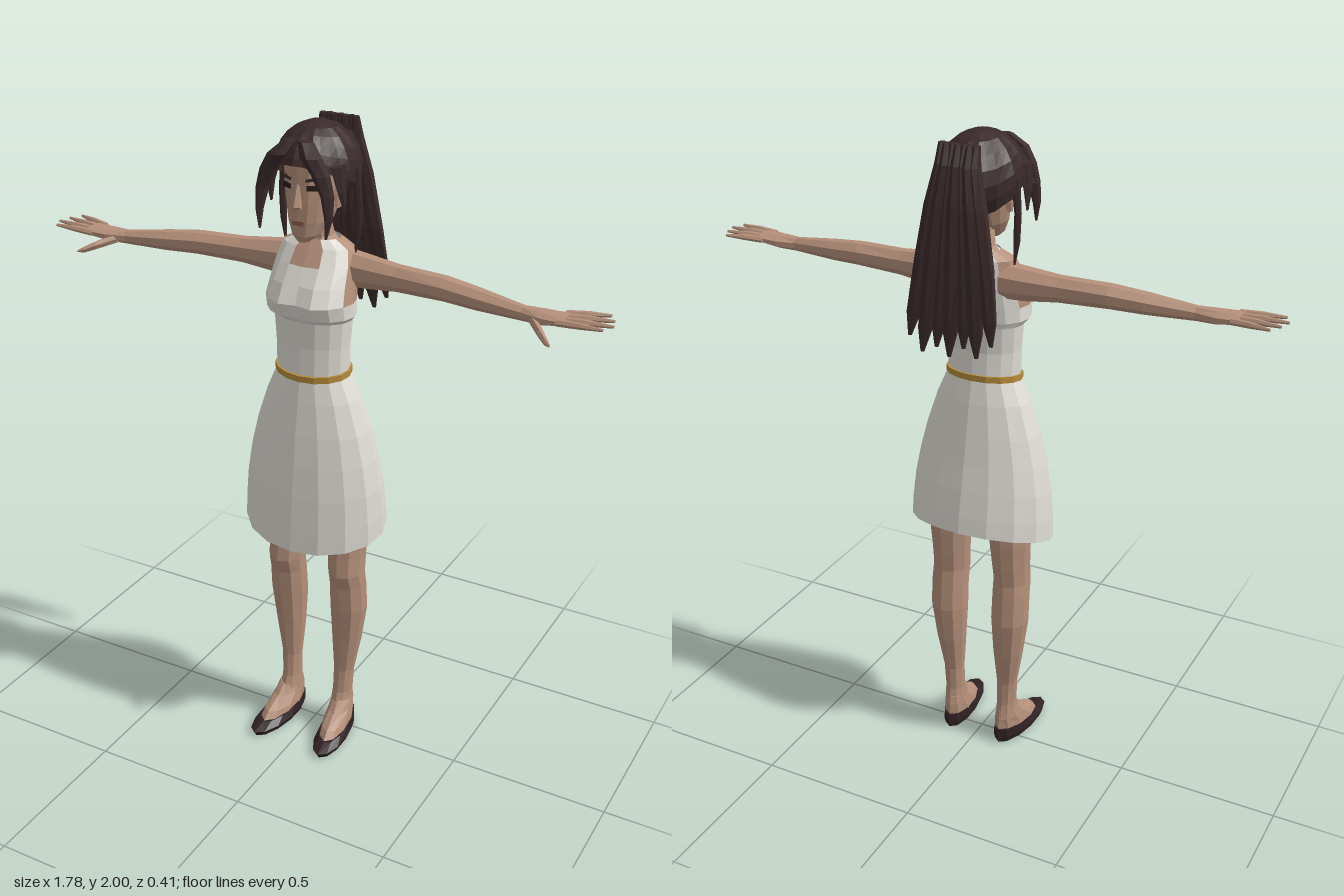
import * as THREE from 'three';

const mat = (name, color, side = THREE.FrontSide) => {
  const m = new THREE.MeshStandardMaterial({ color, side });
  m.name = name;
  return m;
};

export function createModel() {
  const model = new THREE.Group();
  model.name = 'woman';
  const skin = mat('skin', 0xb5907a);
  const dress = mat('dress white', 0xe0ddd5, THREE.DoubleSide);
  const hair = mat('hair brown', 0x3a2a2b, THREE.DoubleSide);
  const gold = mat('belt gold', 0xb78d3c);
  const shoe = mat('shoe dark', 0x2f2124);
  const eye = mat('eye dark', 0x2a1c1a);
  const lip = mat('lip', 0x8f6254);

  // Horizontal ring; k tilts it down towards the front, shear moves it sideways with z
  const ring = (n, y, cx, rx, zf, zb, k = 0, shear = 0, dip = 0) =>
    Array.from({ length: n }, (_, j) => {
      const a = (j / n) * Math.PI * 2;
      const z = (zf + zb) / 2 + (Math.cos(a) * (zf - zb)) / 2 - (j === 0 ? dip : 0);
      return [cx + Math.sin(a) * rx + shear * z, y - k * z, z];
    });

  // Upright ring across the x axis, for arms and fingers
  const ringX = (n, x, y, z, ry, rz) =>
    Array.from({ length: n }, (_, j) => {
      const a = ((j + 0.5) / n) * Math.PI * 2;
      return [x, y + Math.cos(a) * ry, z + Math.sin(a) * rz];
    });

  // Faceted skin over rings; pick(row, column) chooses the material, s = -1 mirrors
  function loft(name, rings, mats, { s = 1, caps = true, pick = () => 0, parent = model } = {}) {
    const list = Array.isArray(mats) ? mats : [mats];
    const tris = list.map(() => []);
    const add = (m, a, b, c) => {
      for (const p of s > 0 ? [a, b, c] : [a, c, b]) tris[m].push(p[0] * s, p[1], p[2]);
    };
    const n = rings[0].length;
    for (let i = 0; i < rings.length - 1; i++)
      for (let j = 0; j < n; j++) {
        const j2 = (j + 1) % n, m = pick(i, j);
        add(m, rings[i][j], rings[i][j2], rings[i + 1][j2]);
        add(m, rings[i][j], rings[i + 1][j2], rings[i + 1][j]);
      }
    if (caps)
      [rings[0], rings[rings.length - 1]].forEach((r, top) => {
        const c = [0, 1, 2].map(d => r.reduce((t, p) => t + p[d], 0) / n);
        r.forEach((p, j) => {
          const q = r[(j + 1) % n];
          top ? add(0, c, p, q) : add(0, c, q, p);
        });
      });
    const geo = new THREE.BufferGeometry();
    geo.setAttribute('position', new THREE.Float32BufferAttribute(tris.flat(), 3));
    let start = 0;
    tris.forEach((t, i) => {
      geo.addGroup(start, t.length / 3, i);
      start += t.length / 3;
    });
    geo.computeVertexNormals();
    const mesh = new THREE.Mesh(geo, list.length > 1 ? list : list[0]);
    mesh.name = name;
    parent.add(mesh);
    return mesh;
  }

  const plate = (name, material, w, h, x, y, z, ry = 0, rz = 0) => {
    const m = new THREE.Mesh(new THREE.BoxGeometry(w, h, 0.008), material);
    m.name = name;
    m.position.set(x, y, z);
    m.rotation.set(0, ry, rz);
    model.add(m);
  };

  // Bodice with shoulder straps and bare shoulders: y, rx, front z, back z, tilt, cleft
  const bodice = [
    [1.27, 0.113, 0.1, -0.067, 0.1, 0], [1.36, 0.115, 0.096, -0.06, 0, 0],
    [1.44, 0.121, 0.1, -0.068, 0, 0], [1.458, 0.137, 0.126, -0.072, 0, 0.012],
    [1.5, 0.136, 0.142, -0.08, 0, 0.018], [1.55, 0.13, 0.115, -0.085, 0, 0.012],
    [1.6, 0.125, 0.078, -0.086, 0, 0], [1.645, 0.112, 0.045, -0.08, 0, 0],
    [1.668, 0.066, 0.027, -0.068, 0, 0],
  ].map(([y, rx, zf, zb, k, d]) => ring(16, y, 0, rx, zf, zb, k, 0, d));
  loft('bodice', bodice, [dress, skin], {
    caps: false,
    pick: (i, j) => {
      const c = j < 8 ? j : 15 - j;
      if (i === 4) return c === 3 || c === 4 ? 1 : 0;
      if (i === 5) return c >= 3 && c <= 5 ? 1 : 0;
      if (i >= 6) return c === 1 || c === 2 || c >= 6 ? 0 : 1;
      return 0;
    },
  });

  // Skirt, longer in front, and belt
  loft('skirt', [
    [0.765, 0.23, 0.165, -0.16, 0.28], [0.83, 0.228, 0.16, -0.152, 0.22],
    [0.92, 0.22, 0.152, -0.137, 0.16], [1.01, 0.204, 0.141, -0.12, 0.1],
    [1.1, 0.181, 0.129, -0.104, 0.06], [1.2, 0.147, 0.114, -0.085, 0.08],
    [1.272, 0.115, 0.102, -0.069, 0.1],
  ].map(([y, rx, zf, zb, k]) => ring(16, y, 0, rx, zf, zb, k)), dress, { caps: false });
  loft('belt', [1.268, 1.287].map(y => ring(16, y, 0, 0.119, 0.106, -0.073, 0.1)), gold);

  // Neck and head
  loft('neck', [[1.645, 0.07, 0.03, -0.068], [1.675, 0.046, 0.028, -0.06], [1.72, 0.038, 0.035, -0.05],
    [1.77, 0.04, 0.04, -0.05]].map(([y, rx, zf, zb]) => ring(10, y, 0, rx, zf, zb)), skin);
  loft('head', [
    [1.677, 0.018, 0.092, 0.05], [1.695, 0.04, 0.1, 0.01], [1.735, 0.061, 0.104, -0.045],
    [1.79, 0.074, 0.106, -0.085], [1.84, 0.081, 0.106, -0.1], [1.9, 0.084, 0.108, -0.105],
    [1.95, 0.065, 0.08, -0.08],
  ].map(([y, rx, zf, zb]) => ring(16, y, 0, rx, zf, zb)), skin);
  loft('nose', [[1.775, 0.013, 0.112, 0.09], [1.785, 0.014, 0.128, 0.09], [1.845, 0.006, 0.108, 0.09]]
    .map(([y, rx, zf, zb]) => ring(6, y, 0, rx, zf, zb)), skin);
  plate('lips', lip, 0.036, 0.013, 0, 1.735, 0.102);

  for (const s of [1, -1]) {
    const side = s > 0 ? 'left' : 'right';
    // Face details
    plate(`${side}Eye`, eye, 0.03, 0.014, s * 0.038, 1.836, 0.093, s * 0.38);
    plate(`${side}Eyebrow`, hair, 0.038, 0.008, s * 0.04, 1.86, 0.094, s * 0.38, s * 0.15);
    loft(`${side}Ear`, [[1.77, 0.006, 0.03, 0.005], [1.8, 0.012, 0.03, -0.01], [1.835, 0.012, 0.035, -0.015]]
      .map(([y, rx, zf, zb]) => ring(6, y, 0.079, rx, zf, zb)), skin, { s });

    // Arm and palm: x, y, z, half height, half depth
    const arm = new THREE.Group();
    arm.name = `${side}Arm`;
    model.add(arm);
    const limb = (name, rows, n) =>
      loft(name, rows.map(r => ringX(n, ...r)), skin, { s, parent: arm });
    limb('armAndPalm', [
      [0.085, 1.585, -0.025, 0.054, 0.05], [0.15, 1.582, -0.022, 0.05, 0.044],
      [0.25, 1.582, -0.016, 0.039, 0.037], [0.4, 1.582, -0.006, 0.035, 0.04],
      [0.5, 1.575, 0.005, 0.031, 0.036], [0.64, 1.566, 0.02, 0.021, 0.023],
      [0.7, 1.567, 0.022, 0.02, 0.04], [0.765, 1.573, 0.024, 0.013, 0.045],
    ], 8);
    [[-0.013, -0.043, 0.86], [0.012, -0.008, 0.88], [0.037, 0.03, 0.89], [0.058, 0.066, 0.873]]
      .forEach(([z0, z1, tip]) => limb('finger', [
        [0.745, 1.573, z0, 0.01, 0.012], [(0.745 + tip) / 2, 1.577, (z0 + z1) / 2, 0.009, 0.01],
        [tip, 1.579, z1, 0.004, 0.004]], 6));
    limb('thumb', [[0.665, 1.562, 0.035, 0.014, 0.014], [0.71, 1.548, 0.082, 0.014, 0.018],
      [0.735, 1.538, 0.108, 0.011, 0.012], [0.753, 1.533, 0.123, 0.004, 0.005]], 6);

    // Leg: y, centre x, rx, front z, back z
    loft(`${side}Leg`, [
      [0.09, 0.094, 0.034, 0.05, -0.055], [0.14, 0.094, 0.031, 0.03, -0.045],
      [0.22, 0.096, 0.033, 0.022, -0.045], [0.34, 0.102, 0.048, 0.03, -0.065],
      [0.46, 0.107, 0.059, 0.042, -0.078], [0.55, 0.107, 0.058, 0.05, -0.072],
      [0.6, 0.106, 0.057, 0.065, -0.068], [0.66, 0.104, 0.059, 0.06, -0.075],
      [0.74, 0.103, 0.064, 0.055, -0.082], [0.95, 0.095, 0.078, 0.08, -0.09],
    ].map(([y, cx, rx, zf, zb]) => ring(10, y, cx, rx, zf, zb)), skin, { s });

    // Foot and flat shoe
    loft(`${side}Foot`, [
      [0.02, 0.044, 0.165, -0.055], [0.055, 0.041, 0.13, -0.058],
      [0.085, 0.037, 0.075, -0.057], [0.115, 0.032, 0.04, -0.05],
    ].map(([y, rx, zf, zb]) => ring(10, y, 0.096, rx, zf, zb, 0, 0.1)), skin, { s });
    loft(`${side}Shoe`, [
      [0, 0.044, 0.195, -0.06, 0], [0.018, 0.051, 0.205, -0.064, 0],
      [0.045, 0.044, 0.16, -0.064, 0.08],
    ].map(([y, rx, zf, zb, k]) => ring(12, y, 0.097, rx, zf, zb, k, 0.1)), shoe, { s });

    // Swept fringe and the loose lock before the ear: y, x, z, rx, rz
    const lock = (name, rows) => loft(`${side}${name}`,
      rows.map(([y, x, z, rx, rz]) => ring(6, y, x, rx, z + rz, z - rz)), hair, { s });
    lock('Fringe', [[1.715, 0.104, 0.135, 0.003, 0.004], [1.77, 0.108, 0.128, 0.011, 0.014],
      [1.83, 0.101, 0.122, 0.018, 0.022], [1.885, 0.08, 0.122, 0.026, 0.024],
      [1.93, 0.05, 0.122, 0.032, 0.024], [1.965, 0.022, 0.1, 0.022, 0.02]]);
    lock('TempleLock', [[1.77, 0.116, 0.05, 0.003, 0.004], [1.83, 0.112, 0.06, 0.01, 0.022],
      [1.9, 0.1, 0.06, 0.018, 0.035]]);
    lock('SideLock', [[1.625, 0.112, -0.022, 0.002, 0.003], [1.7, 0.12, -0.024, 0.01, 0.009],
      [1.78, 0.122, -0.022, 0.01, 0.011], [1.88, 0.113, -0.02, 0.012, 0.014]]);
  }

  // Combed hair cap whose lower edge drops from the brow to the nape
  const N = 28;
  const cap = [0, 0.2, 0.4, 0.6, 0.78, 0.92, 1].map(t =>
    Array.from({ length: N }, (_, j) => {
      const a = (j / N) * Math.PI * 2;
      const low = 1.838 + 0.065 * Math.cos(a);
      const y = low + (1.996 - low) * t;
      const r = Math.sqrt(Math.max(0, 1 - ((y - 1.865) / 0.134) ** 2)) * (j % 2 ? 0.96 : 1);
      return [Math.sin(a) * 0.122 * r, y, -0.004 + Math.cos(a) * 0.146 * r];
    }));
  loft('hairCap', cap, hair, { caps: false });
  loft('crown', [cap[cap.length - 1], cap[cap.length - 1].map(([x, , z]) => [x * 0.3, 2, z * 0.3])], hair);

  // Ponytail of overlapping locks fanning out to the tips
  const pony = new THREE.Group();
  pony.name = 'ponytail';
  model.add(pony);
  const tips = [1.45, 1.41, 1.43, 1.4, 1.42, 1.4, 1.44];
  tips.forEach((tip, i) => {
    const u = (i - 3) / 3, z = i % 2 ? -0.006 : 0;
    loft('ponytailLock', [
      [tip, u * 0.128, -0.196, 0.006, 0.004], [tip + 0.07, u * 0.118, -0.188, 0.024, 0.011],
      [1.66, u * 0.098, -0.17, 0.025, 0.019], [1.82, u * 0.073, -0.158, 0.022, 0.021],
      [1.93, u * 0.052, -0.143, 0.016, 0.021], [1.985, u * 0.052, -0.132, 0.01, 0.012],
    ].map(([y, x, c, rx, rz]) => ring(6, y, x, rx, c + z + rz, c + z - rz)), hair, { parent: pony });
  });
  loft('hairTie', [1.915, 1.945].map(y => ring(10, y, 0, 0.055, -0.09, -0.155)), hair, { parent: pony });

  return model;
}
